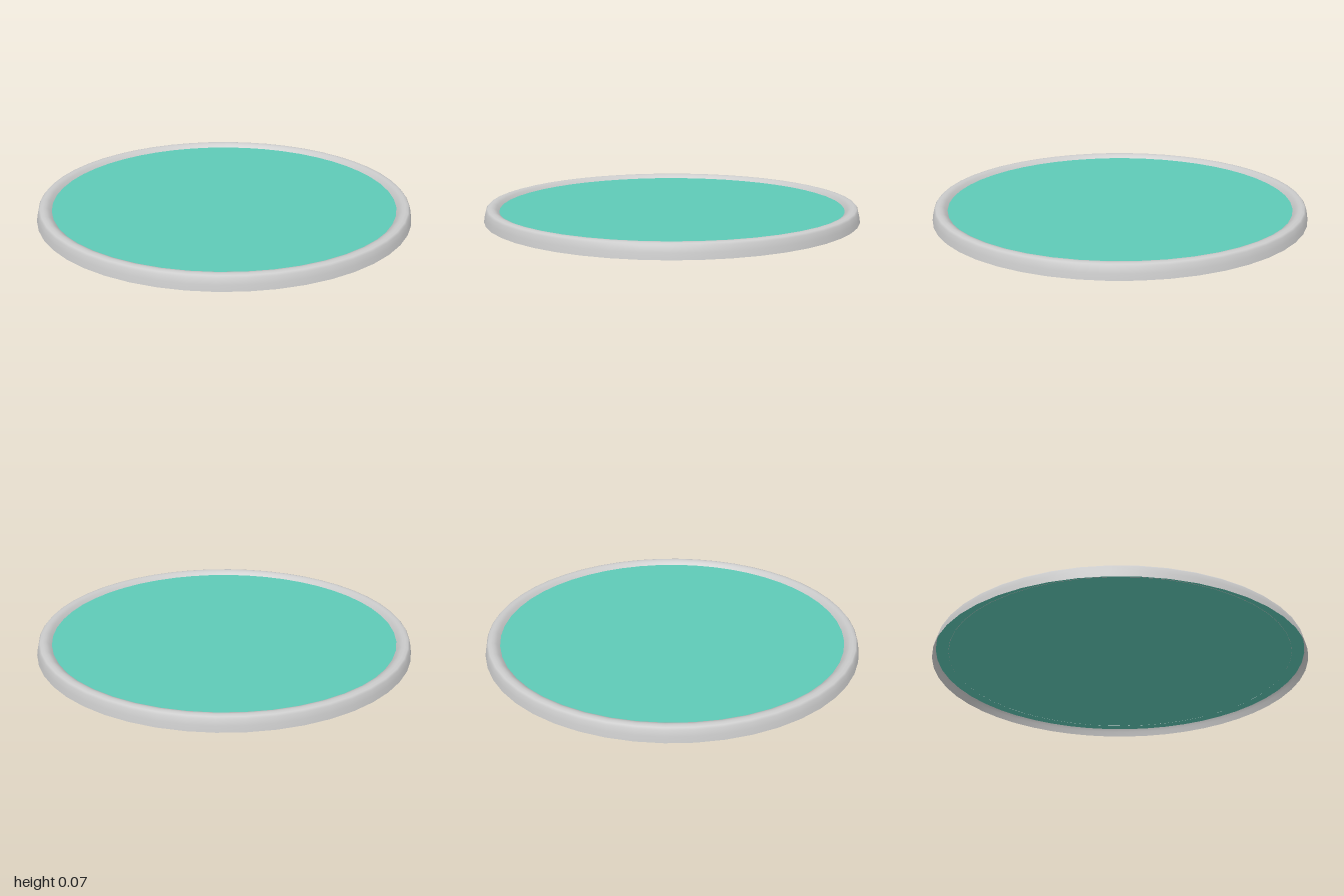
import * as THREE from 'three';

const SEGMENTS = 48;

export function createModel() {
  const group = new THREE.Group();
  group.name = 'roundPad';

  // Rim: thin shell, open underneath, rolling over the top and down to the panel
  const profile = [
    [1.0, 0], [0.995, 0.03], [0.988, 0.058], [0.98, 0.067], [0.965, 0.071],
    [0.95, 0.069], [0.935, 0.062], [0.92, 0.046],
  ].map(([r, y]) => new THREE.Vector2(r, y));
  const rim = new THREE.Mesh(
    new THREE.LatheGeometry(profile, SEGMENTS),
    new THREE.MeshStandardMaterial({ color: 0xcccccc, side: THREE.DoubleSide })
  );
  rim.name = 'rim';
  group.add(rim);

  // Coloured panel spanning the inside of the rim
  const panelGeometry = new THREE.CircleGeometry(0.985, SEGMENTS);
  panelGeometry.rotateX(-Math.PI / 2);
  const panel = new THREE.Mesh(
    panelGeometry,
    new THREE.MeshStandardMaterial({ color: 0x5fcbb8, side: THREE.DoubleSide })
  );
  panel.name = 'panel';
  panel.position.y = 0.047;
  group.add(panel);

  return group;
}
